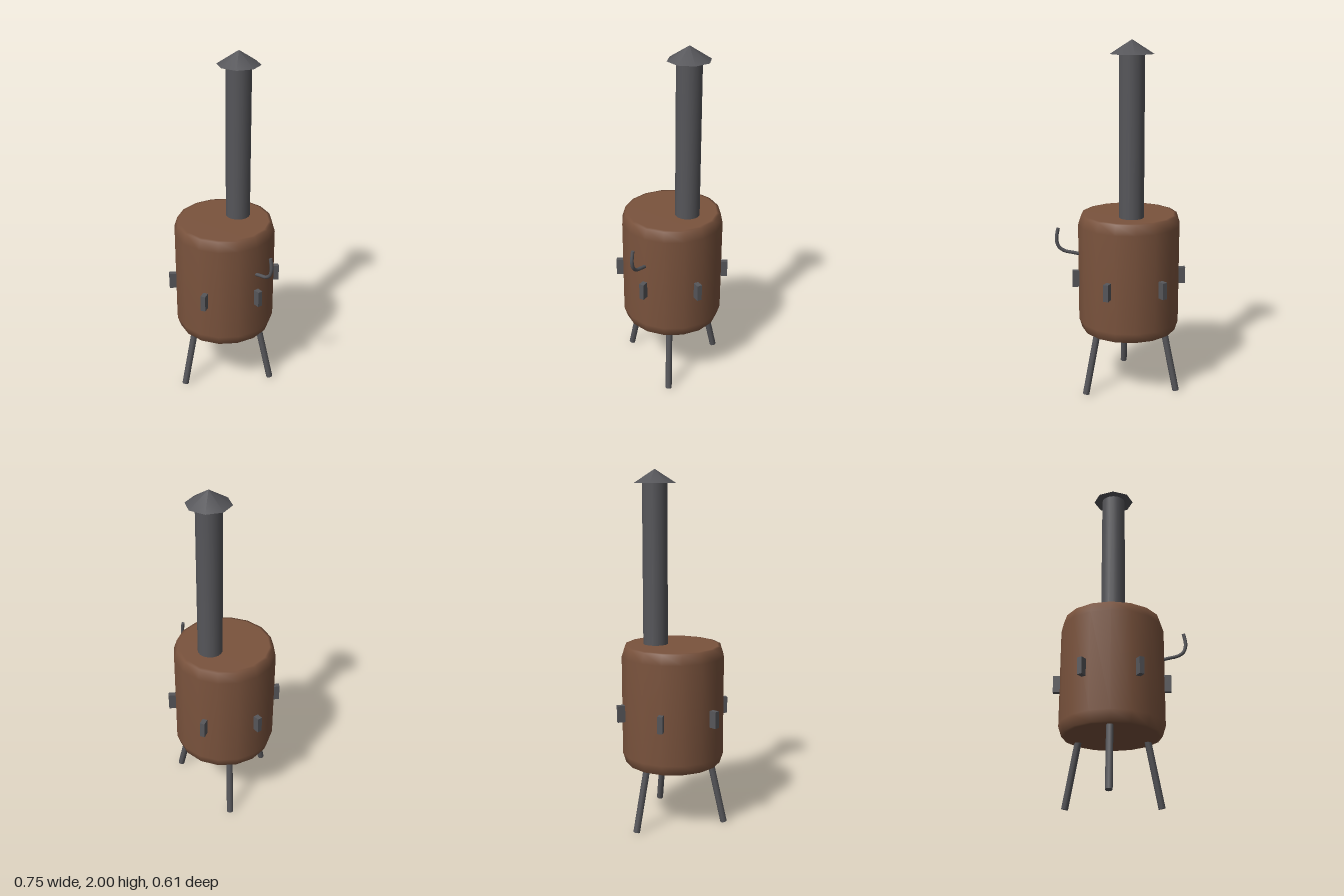
import * as THREE from 'three';

const CX = -0.05, CZ = -0.015; // axis of the drum

export function createModel() {
  const model = new THREE.Group();
  const rust = new THREE.MeshStandardMaterial({ name: 'rusty brown', color: 0x7a533d });
  const iron = new THREE.MeshStandardMaterial({ name: 'dark iron', color: 0x56565a });

  const add = (name, geometry, material, x = 0, y = 0, z = 0) => {
    const mesh = new THREE.Mesh(geometry, material);
    mesh.name = name;
    mesh.position.set(x, y, z);
    model.add(mesh);
    return mesh;
  };

  // Round rod with closed ends between two points
  const rod = (name, from, to, radius, sides) => {
    const dir = to.clone().sub(from);
    const mesh = add(name, new THREE.CylinderGeometry(radius, radius, dir.length(), sides), iron);
    mesh.position.copy(from).add(to).multiplyScalar(0.5);
    mesh.quaternion.setFromUnitVectors(new THREE.Vector3(0, 1, 0), dir.normalize());
    return mesh;
  };

  // Drum with softened rims
  const profile = [[0, 0.36], [0.255, 0.36], [0.272, 0.363], [0.29, 0.42],
    [0.29, 0.98], [0.272, 1.037], [0.255, 1.04], [0, 1.04]]
    .map(([r, y]) => new THREE.Vector2(r, y));
  add('drum', new THREE.LatheGeometry(profile, 16), rust, CX, 0, CZ);

  // Chimney and its conical cap
  add('chimney', new THREE.CylinderGeometry(0.07, 0.07, 0.93, 16), iron, CX, 1.475, -0.115);
  add('chimneyCap', new THREE.ConeGeometry(0.12, 0.076, 8), iron, CX, 1.962, -0.115);

  // Three splayed legs: top x, z then foot x, z
  [[-0.055, 0.2, -0.055, 0.285], [-0.235, -0.12, -0.306, -0.168], [0.14, -0.115, 0.215, -0.158]]
    .forEach(([tx, tz, fx, fz]) => rod('leg',
      new THREE.Vector3(fx, 0.007, fz), new THREE.Vector3(tx, 0.385, tz), 0.019, 8));

  // Six lugs around the drum
  for (let i = 0; i < 6; i++) {
    const a = i * Math.PI / 3;
    const lug = add('lug', new THREE.BoxGeometry(0.055, 0.095, 0.028), iron,
      CX + Math.cos(a) * 0.2985, 0.662, CZ - Math.sin(a) * 0.2985);
    lug.rotation.y = a;
  }

  // Upturned hook on the left side
  const path = new THREE.CatmullRomCurve3([[0.22, 0.805], [0.27, 0.817], [0.32, 0.83],
    [0.35, 0.854], [0.362, 0.89], [0.361, 0.92], [0.353, 0.96]]
    .map(([x, y]) => new THREE.Vector3(x, y, CZ)));
  add('hook', new THREE.TubeGeometry(path, 16, 0.01, 8), iron);
  rod('hookTip', new THREE.Vector3(0.3545, 0.952, CZ), new THREE.Vector3(0.3525, 0.962, CZ), 0.01, 8);

  return model;
}
